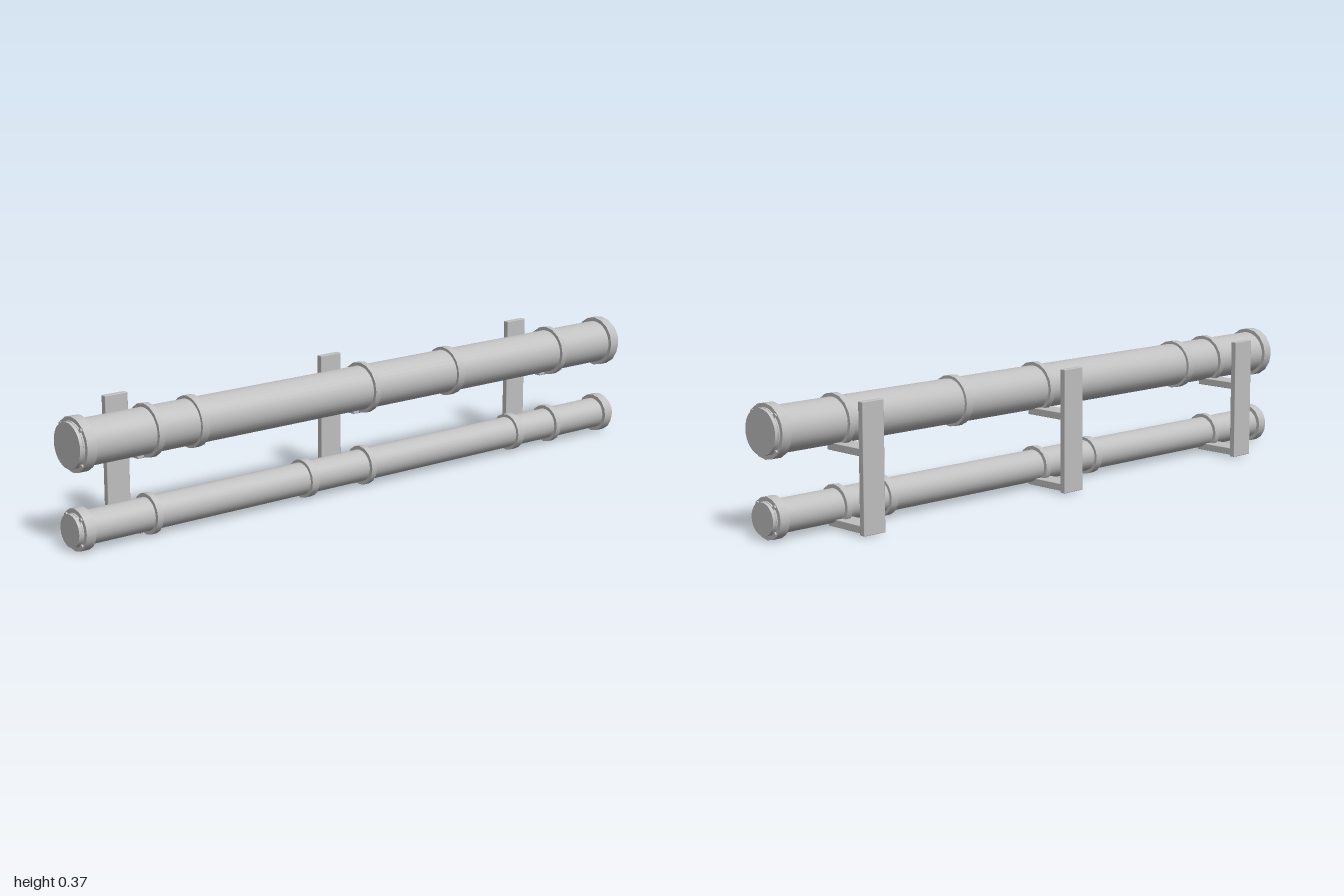
import * as THREE from 'three';
import { RoundedBoxGeometry } from 'three/addons/geometries/RoundedBoxGeometry.js';

const steel = new THREE.MeshStandardMaterial({ color: 0xc0c0c0 });
steel.name = 'pale grey steel';

function add(parent, name, geometry, x, y, z) {
  const mesh = new THREE.Mesh(geometry, steel);
  mesh.name = name;
  mesh.position.set(x, y, z);
  parent.add(mesh);
  return mesh;
}

// Cylinder lying along x
function rod(radius, length, sides) {
  return new THREE.CylinderGeometry(radius, radius, length, sides).rotateZ(Math.PI / 2);
}

function makePipe({ name, y, radius, flange, couplings }) {
  const pipe = new THREE.Group();
  pipe.name = name;
  pipe.position.set(0, y, 0.042);
  add(pipe, 'tube', rod(radius, 1.98, 32), 0, 0, 0);

  // Clamps at the brackets and couplings between tube lengths
  for (const x of [-0.75, 0, 0.75]) add(pipe, 'clampBand', rod(flange - 0.001, 0.018, 16), x, 0, 0);
  for (const x of couplings) add(pipe, 'coupling', rod(flange - 0.003, 0.025, 20), x, 0, 0);

  // Bolted flange and blank cap at each end
  for (const side of [-1, 1]) {
    add(pipe, 'endFlange', rod(flange, 0.03, 16), side * 0.97, 0, 0);
    add(pipe, 'endCap', rod(radius - 0.001, 0.03, 32), side * 0.985, 0, 0);
    const r = (flange + radius) / 2 - 0.002;
    for (let i = 0; i < 4; i++) {
      const a = Math.PI / 4 + i * Math.PI / 2;
      add(pipe, 'flangeBolt', rod(0.0055, 0.02, 8), side * 0.98, r * Math.sin(a), r * Math.cos(a));
    }
  }
  return pipe;
}

// Wall plate with one support arm under each pipe
function makeBracket(x) {
  const bracket = new THREE.Group();
  bracket.name = 'bracket';
  bracket.position.x = x;
  add(bracket, 'wallPlate', new RoundedBoxGeometry(0.074, 0.36, 0.018, 1, 0.002), 0, 0.184, -0.107);
  for (const y of [0.018, 0.226]) {
    add(bracket, 'supportArm', new RoundedBoxGeometry(0.06, 0.021, 0.138, 1, 0.002), 0, y, -0.029);
  }
  return bracket;
}

export function createModel() {
  const model = new THREE.Group();
  model.name = 'pipeRack';
  model.add(makePipe({ name: 'upperPipe', y: 0.292, radius: 0.064, flange: 0.0755, couplings: [-0.605, 0.325] }));
  model.add(makePipe({ name: 'lowerPipe', y: 0.06, radius: 0.0465, flange: 0.0585, couplings: [-0.215, 0.59] }));
  for (const x of [-0.75, 0, 0.75]) model.add(makeBracket(x));
  return model;
}
